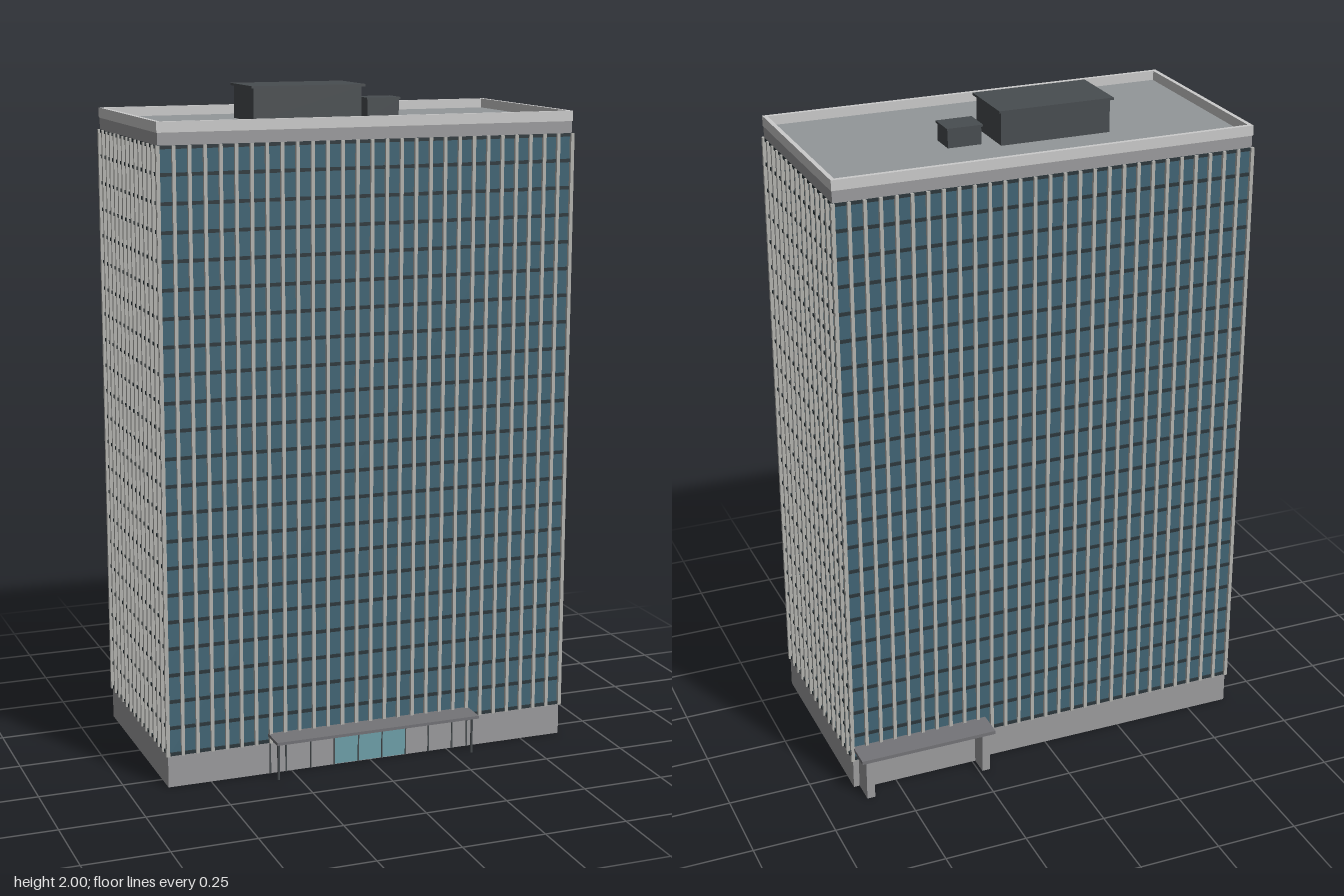
import * as THREE from 'three';
import { mergeGeometries } from 'three/addons/utils/BufferGeometryUtils.js';

const mat = (color) => new THREE.MeshStandardMaterial({ color });

// Box given by its min and max on each axis
function block(x0, x1, y0, y1, z0, z1) {
  return new THREE.BoxGeometry(x1 - x0, y1 - y0, z1 - z0)
    .translate((x0 + x1) / 2, (y0 + y1) / 2, (z0 + z1) / 2);
}

// Rectangular ring with outer half sizes hx, hz and wall thickness t
function ring(hx, hz, t, y0, y1) {
  return mergeGeometries([
    block(-hx, hx, y0, y1, hz - t, hz),
    block(-hx, hx, y0, y1, -hz, -hz + t),
    block(hx - t, hx, y0, y1, -hz + t, hz - t),
    block(-hx, -hx + t, y0, y1, -hz + t, hz - t),
  ]);
}

export function createModel() {
  const group = new THREE.Group();
  const add = (name, geo, material) => {
    const mesh = new THREE.Mesh(Array.isArray(geo) ? mergeGeometries(geo) : geo, material);
    mesh.name = name;
    group.add(mesh);
  };

  const stone = mat(0x9c9c9e), pale = mat(0xbcbcbc), glass = mat(0x416575);
  const finGrey = mat(0xb4b4b0), dark = mat(0x2c373c), plant = mat(0x484d50);
  const canopyGrey = mat(0x747478), doorGlass = mat(0x6fa0aa), roofGrey = mat(0x939799);

  const HX = 0.63, HZ = 0.315, BASE = 0.095, TOP = 1.86;
  const FLOORS = 22, BAYS_X = 28, BAYS_Z = 14;

  // Ground storey and glazed shaft
  add('base', block(-HX, HX, 0, BASE, -HZ, HZ), stone);
  add('glassShaft', block(-HX + 0.004, HX - 0.004, BASE, TOP, -HZ + 0.004, HZ - 0.004), glass);

  // Dark bands at each floor line
  const bands = [];
  for (let i = 0; i <= FLOORS; i++) {
    const y = Math.min(BASE + 0.005 + i * 0.08, TOP - 0.005);
    bands.push(block(-HX, HX, y - 0.005, y + 0.005, -HZ, HZ));
  }
  add('floorBands', bands, dark);

  // Vertical fins on all four sides
  const fins = [];
  const w = 0.005, out = 0.006;
  for (let i = 0; i <= BAYS_X; i++) {
    const x = -HX + (i * 2 * HX) / BAYS_X;
    for (const s of [-1, 1]) {
      const z = s * (HZ + out / 2 - 0.002);
      fins.push(block(x - w, x + w, BASE, TOP, z - 0.005, z + 0.005));
    }
  }
  for (let i = 0; i <= BAYS_Z; i++) {
    const z = -HZ + (i * 2 * HZ) / BAYS_Z;
    for (const s of [-1, 1]) {
      const x = s * (HX + out / 2 - 0.002);
      fins.push(block(x - 0.005, x + 0.005, BASE, TOP, z - w, z + w));
    }
  }
  add('fins', fins, finGrey);

  // Roof slab with parapet
  add('roofSlab', block(-HX, HX, TOP, 1.895, -HZ + 0.002, HZ - 0.002), stone);
  add('roofSurface', block(-HX + 0.012, HX - 0.012, 1.89, 1.897, -HZ + 0.012, HZ - 0.012), roofGrey);
  add('parapet', ring(0.632, 0.315, 0.013, 1.895, 1.925), pale);

  // Rooftop plant rooms
  add('plantRoom', block(-0.265, 0.07, 1.895, 1.993, -0.132, 0.052), plant);
  add('plantRoomRoof', block(-0.273, 0.079, 1.993, 2, -0.14, 0.06), plant);
  add('smallPlantRoom', block(0.116, 0.217, 1.895, 1.949, -0.097, -0.017), plant);
  add('smallPlantRoomRoof', block(0.112, 0.221, 1.949, 1.955, -0.101, -0.013), plant);

  // Front entrance: canopy, posts, doors and wall joints
  add('entranceCanopy', block(-0.322, 0.322, 0.115, 0.124, HZ - 0.003, 0.395), canopyGrey);
  const posts = [], joints = [], doorFrames = [];
  for (const s of [-1, 1]) {
    posts.push(new THREE.CylinderGeometry(0.004, 0.004, 0.115, 8).translate(s * 0.31, 0.0575, 0.37));
    for (const x of [0.115, 0.19, 0.268, 0.317]) {
      joints.push(block(s * x - 0.002, s * x + 0.002, 0, BASE, HZ - 0.002, HZ + 0.003));
    }
    doorFrames.push(block(s * 0.038 - 0.002, s * 0.038 + 0.002, 0, BASE, HZ, HZ + 0.004));
  }
  add('canopyPosts', posts, plant);
  add('entranceWallJoints', joints, plant);
  add('entranceDoors', block(-0.113, 0.113, 0.002, 0.094, HZ - 0.002, HZ + 0.002), doorGlass);
  add('doorFrames', doorFrames, plant);

  // Rear loading bay: roof plate on two wing walls
  add('loadingBayRoof', block(0.2, 0.627, 0.13, 0.141, -0.396, -HZ + 0.003), canopyGrey);
  add('loadingBayWalls', [
    block(0.215, 0.24, 0, 0.13, -0.387, -HZ + 0.003),
    block(0.587, 0.612, 0, 0.13, -0.387, -HZ + 0.003),
  ], stone);
  add('loadingBayBackWall', block(0.24, 0.587, 0, 0.13, -0.328, -HZ + 0.003), stone);

  return group;
}
